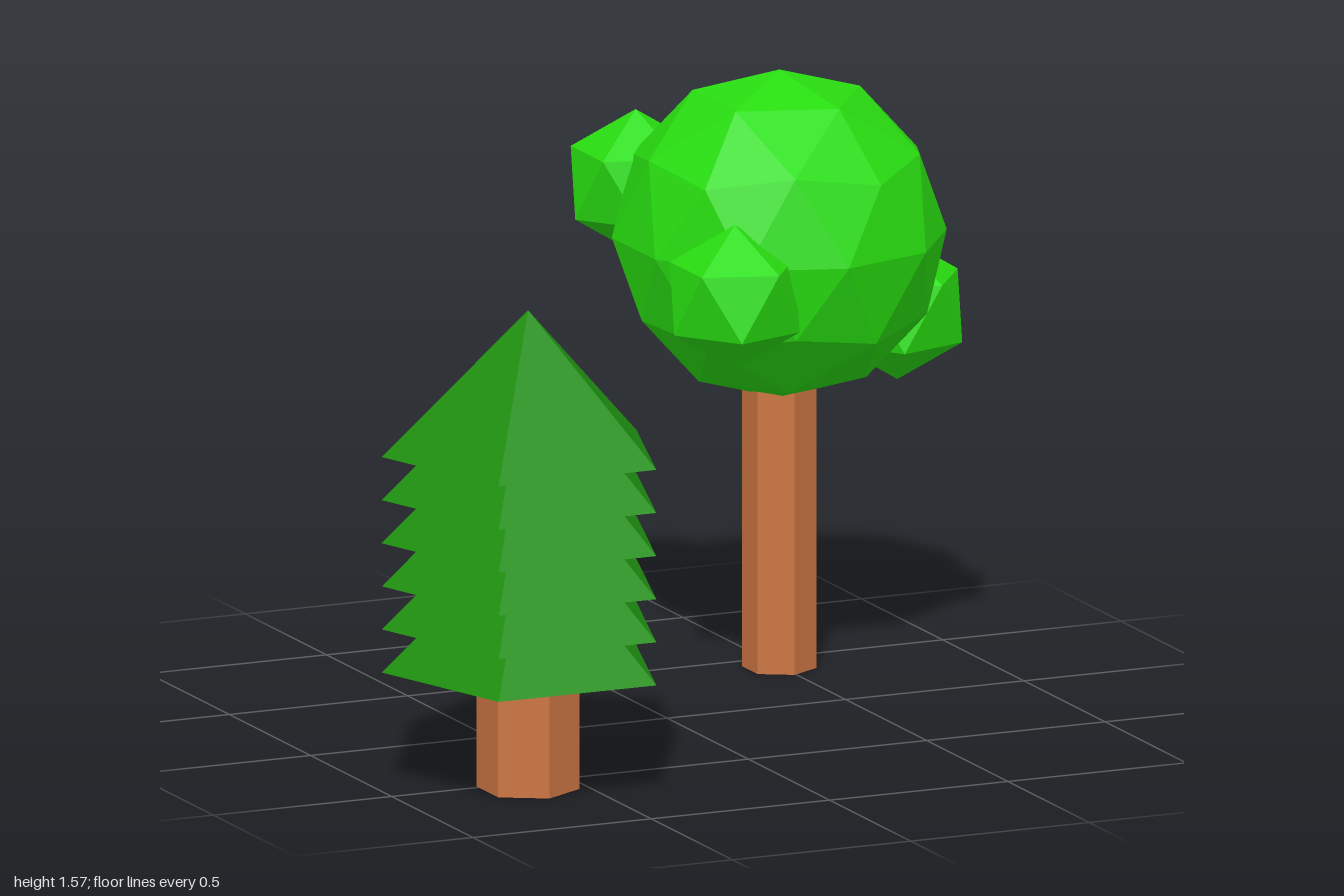
import * as THREE from 'three';

const flat = (color) => new THREE.MeshStandardMaterial({ color, flatShading: true });

export function createModel() {
  const model = new THREE.Group();
  const bark = flat(0xcb7542);
  const needles = flat(0x1f8f10);
  const leaves = flat(0x28dc10);

  const add = (parent, name, geometry, material, x, y, z) => {
    const mesh = new THREE.Mesh(geometry, material);
    mesh.name = name;
    mesh.position.set(x, y, z);
    parent.add(mesh);
    return mesh;
  };

  // Six-sided trunk standing on the ground
  const addTrunk = (parent, name, radius, height) =>
    add(parent, name, new THREE.CylinderGeometry(radius, radius, height, 6), bark, 0, height / 2, 0);

  // Leaf ball, tilted so that one corner points straight up
  const tilt = -Math.atan(2 / (1 + Math.sqrt(5)));
  const addBall = (parent, name, radius, detail, x, y, z) => {
    const geometry = new THREE.IcosahedronGeometry(radius, detail).rotateZ(tilt);
    return add(parent, name, geometry, leaves, x, y, z);
  };

  // Pine: stacked identical five-sided cones
  const pine = new THREE.Group();
  pine.name = 'pineTree';
  pine.position.set(-0.643, 0, 0.556);
  addTrunk(pine, 'pineTrunk', 0.132, 0.36);
  const coneHeight = 0.375;
  for (let i = 0; i < 6; i++) {
    const cone = new THREE.ConeGeometry(0.376, coneHeight, 5).rotateY(Math.PI);
    add(pine, `pineTier${i + 1}`, cone, needles, 0, 0.312 + i * 0.113 + coneHeight / 2, 0);
  }

  // Round tree: tall trunk, large crown and three small leaf clumps
  const round = new THREE.Group();
  round.name = 'roundTree';
  round.position.set(0.495, 0, -0.397);
  addTrunk(round, 'roundTrunk', 0.095, 0.78);
  addBall(round, 'crown', 0.43, 1, 0, 1.137, 0);
  const clumps = {
    leftClump: [0.331, 0.912, 0],
    frontClump: [-0.265, 1.062, 0.307],
    backClump: [-0.265, 1.235, -0.303],
  };
  for (const [name, p] of Object.entries(clumps)) addBall(round, name, 0.189, 0, ...p);

  model.add(pine, round);
  return model;
}
